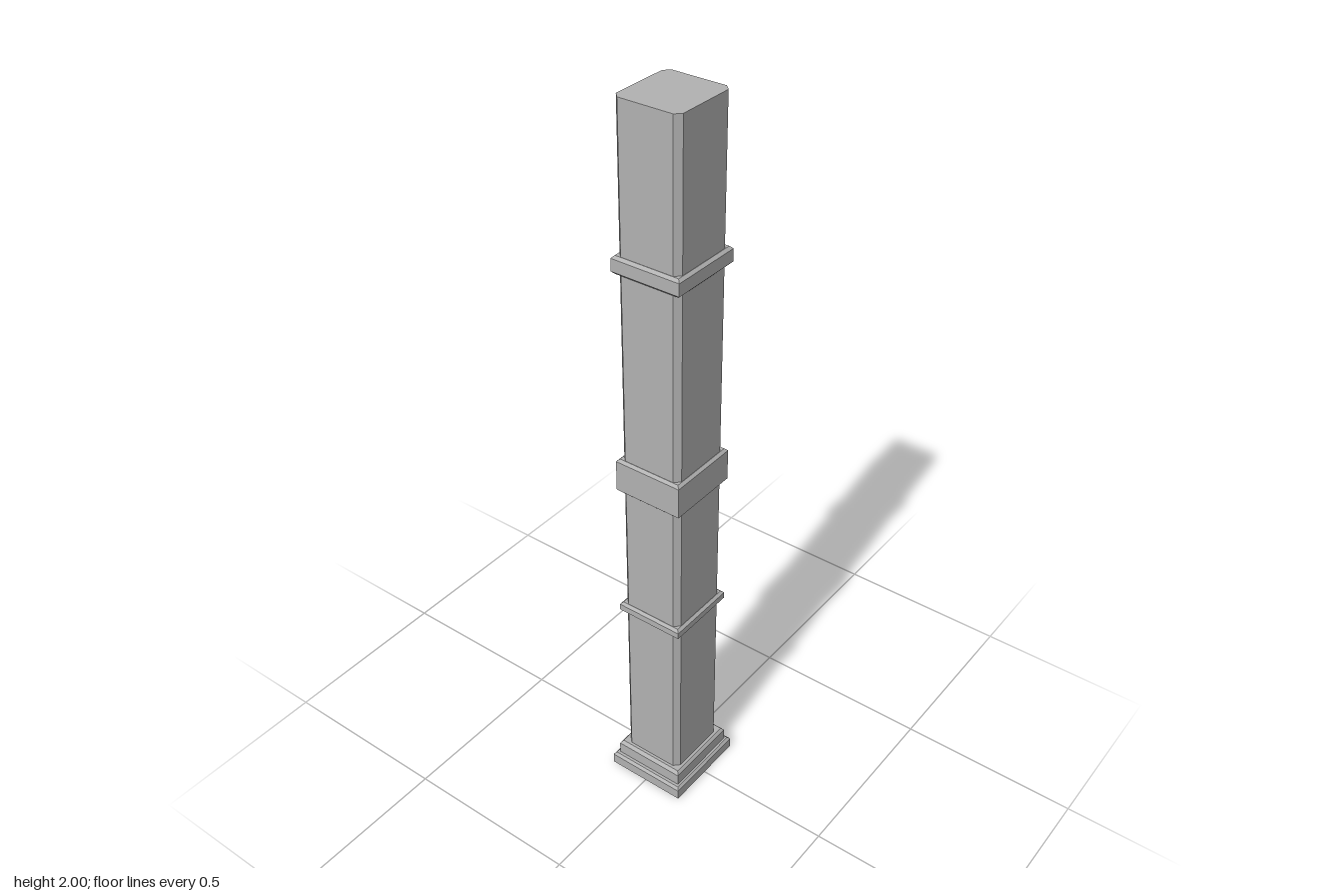
import * as THREE from 'three';

// Outline of a rectangle, optionally with cut corners, anticlockwise from above
function ring(hx, hz, y, cut) {
  const points = [];
  for (const [sx, sz] of [[-1, 1], [1, 1], [1, -1], [-1, -1]]) {
    if (!cut) {
      points.push([sx * hx, y, sz * hz]);
      continue;
    }
    const alongX = [sx * (hx - cut), y, sz * hz];
    const alongZ = [sx * hx, y, sz * (hz - cut)];
    points.push(...(sx === sz ? [alongX, alongZ] : [alongZ, alongX]));
  }
  return points;
}

// Flat-faced solid through a stack of [halfX, halfZ, y] sections, capped at both ends
function loft(sections, cut = 0) {
  const rings = sections.map(([hx, hz, y]) => ring(hx, hz, y, cut));
  const n = rings[0].length;
  const pos = [];
  const tri = (a, b, c) => pos.push(...a, ...b, ...c);
  for (let k = 0; k < rings.length - 1; k++) {
    for (let i = 0; i < n; i++) {
      const j = (i + 1) % n;
      const lo = rings[k], hi = rings[k + 1];
      tri(lo[i], lo[j], hi[j]);
      tri(lo[i], hi[j], hi[i]);
    }
  }
  const first = rings[0], last = rings[rings.length - 1];
  for (let i = 1; i < n - 1; i++) {
    tri(first[0], first[i + 1], first[i]);
    tri(last[0], last[i], last[i + 1]);
  }
  const geometry = new THREE.BufferGeometry();
  geometry.setAttribute('position', new THREE.Float32BufferAttribute(pos, 3));
  geometry.computeVertexNormals();
  return geometry;
}

export function createModel() {
  const model = new THREE.Group();
  model.name = 'squarePost';
  const stone = new THREE.MeshStandardMaterial({ color: 0xb2b2b2 });
  stone.name = 'grey stone';

  const add = (name, geometry) => {
    const mesh = new THREE.Mesh(geometry, stone);
    mesh.name = name;
    model.add(mesh);
  };

  // Plinth: hollow underneath, bevelled on top
  add('plinth', loft([
    [0.123, 0.113, 0.029],
    [0.123, 0.113, 0],
    [0.125, 0.115, 0],
    [0.125, 0.115, 0.03],
    [0.118, 0.109, 0.037],
  ]));

  // Upper step of the base
  add('baseStep', loft([
    [0.11, 0.103, 0.036],
    [0.11, 0.103, 0.071],
    [0.102, 0.096, 0.08],
  ]));

  // Shaft with chamfered corners
  add('shaft', loft([[0.094, 0.088, 0.036], [0.094, 0.088, 2]], 0.015));

  // Bevelled collars around the shaft
  const bevel = 0.007;
  const collars = [
    ['lowerCollar', 0.57, 0.602],
    ['middleCollar', 0.967, 1.067],
    ['upperCollar', 1.58, 1.627],
  ];
  for (const [name, y0, y1] of collars) {
    add(name, loft([
      [0.102 - bevel, 0.096 - bevel, y0],
      [0.102, 0.096, y0 + bevel],
      [0.102, 0.096, y1 - bevel],
      [0.102 - bevel, 0.096 - bevel, y1],
    ]));
  }

  return model;
}
